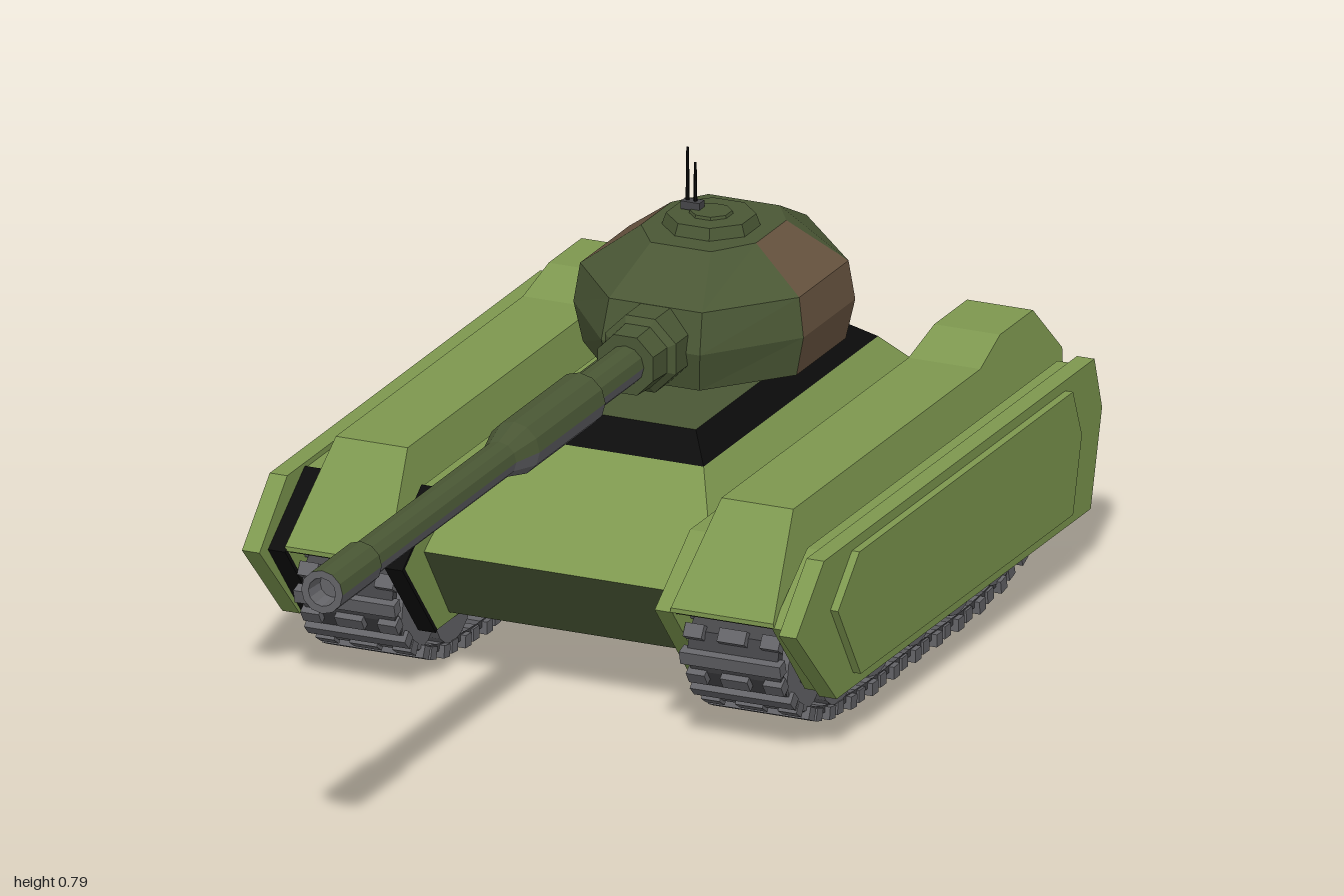
import * as THREE from 'three';
import { mergeGeometries } from 'three/addons/utils/BufferGeometryUtils.js';

const paint = (name, color) => {
  const m = new THREE.MeshStandardMaterial({ color, flatShading: true });
  m.name = name;
  return m;
};

// Skin between rings of points; 'sides' picks which strips to make
function loft(rings, { sides = null, bottom = true, top = true } = {}) {
  const pos = [], n = rings[0].length;
  const tri = (a, b, c) => pos.push(...a, ...b, ...c);
  for (let k = 0; k < rings.length - 1; k++) {
    const lo = rings[k], hi = rings[k + 1];
    for (let i = 0; i < n; i++) {
      if (sides && !sides.includes(i)) continue;
      const j = (i + 1) % n;
      tri(lo[i], lo[j], hi[j]);
      tri(lo[i], hi[j], hi[i]);
    }
  }
  const first = rings[0], last = rings[rings.length - 1];
  for (let i = 1; i < n - 1; i++) {
    if (bottom) tri(first[0], first[i + 1], first[i]);
    if (top) tri(last[0], last[i], last[i + 1]);
  }
  const g = new THREE.BufferGeometry();
  g.setAttribute('position', new THREE.Float32BufferAttribute(pos, 3));
  g.computeVertexNormals();
  return g;
}

// Slab with a (z, y) outline, centred on x = 0
function slab(outline, width, hole) {
  const shape = new THREE.Shape(outline.map(([z, y]) => new THREE.Vector2(z, y)));
  if (hole) shape.holes.push(new THREE.Path(hole.map(([z, y]) => new THREE.Vector2(z, y))));
  return new THREE.ExtrudeGeometry(shape, { depth: width, bevelEnabled: false })
    .rotateY(-Math.PI / 2).translate(width / 2, 0, 0);
}

export function createModel() {
  const lightGreen = paint('lightGreen', 0x7d974f);
  const darkGreen = paint('darkGreen', 0x4a5735);
  const brown = paint('brown', 0x67533f);
  const black = paint('black', 0x0c0c0c);
  const gray = paint('gray', 0x646468);
  const darkGray = paint('darkGray', 0x454548);

  const model = new THREE.Group();
  const add = (name, geometry, material, parent = model, x = 0, y = 0, z = 0) => {
    const m = new THREE.Mesh(geometry, material);
    m.name = name;
    m.position.set(x, y, z);
    parent.add(m);
    return m;
  };

  // Hull: stacked rectangles
  const rect = (y, w, zf, zb) => [[w, y, zf], [w, y, zb], [-w, y, zb], [-w, y, zf]];
  const belly = rect(0.115, 0.23, 0.0, -0.83), waist = rect(0.255, 0.23, 0.10, -0.91);
  const deck = rect(0.335, 0.225, -0.04, -0.87), collarLow = rect(0.395, 0.18, -0.12, -0.81);
  const collarTop = rect(0.44, 0.145, -0.165, -0.74);
  add('lowerHull', loft([belly, waist], { top: false }), darkGreen);
  add('upperHull', loft([waist, deck, collarLow], { bottom: false, top: false }), lightGreen);
  add('turretCollar', loft([collarLow, collarTop], { bottom: false, top: false }), black);
  add('hullRoof', loft([collarTop, collarTop], { sides: [], bottom: false }), darkGreen);
  add('turretRing', new THREE.CylinderGeometry(0.09, 0.09, 0.03, 16), black, model, 0, 0.443, -0.55);

  // Turret: eight-sided rings with brown patches at the sides and back
  const turret = new THREE.Group();
  turret.name = 'turret';
  model.add(turret);
  const octagon = (y, wf, zf, w, z2, z3, wb, zb) => [
    [wf, y, zf], [w, y, z2], [w, y, z3], [wb, y, zb],
    [-wb, y, zb], [-w, y, z3], [-w, y, z2], [-wf, y, zf]];
  const rings = [
    octagon(0.447, 0.08, -0.32, 0.195, -0.455, -0.65, 0.05, -0.79),
    octagon(0.517, 0.09, -0.30, 0.21, -0.45, -0.655, 0.04, -0.885),
    octagon(0.585, 0.085, -0.32, 0.2, -0.455, -0.65, 0.045, -0.82),
    octagon(0.655, 0.055, -0.42, 0.105, -0.49, -0.61, 0.065, -0.67)];
  add('turretShell', loft(rings, { sides: [0, 2, 4, 6, 7] }), darkGreen, turret);
  add('turretPatches', loft(rings, { sides: [1, 3, 5], bottom: false, top: false }), brown, turret);
  const oct = (rTop, rBottom, h) => new THREE.CylinderGeometry(rTop, rBottom, h, 8).rotateY(Math.PI / 8);
  add('hatchRim', oct(0.075, 0.082, 0.02), darkGreen, turret, 0, 0.665, -0.54);
  add('hatchLid', oct(0.035, 0.037, 0.006), darkGreen, turret, 0, 0.677, -0.54);

  // Antennas
  add('antennaBase', new THREE.BoxGeometry(0.034, 0.014, 0.02), darkGray, turret, -0.034, 0.685, -0.54);
  for (const [x, top] of [[-0.043, 0.785], [-0.029, 0.76]]) {
    const h = top - 0.685;
    add('antenna', new THREE.CylinderGeometry(0.0022, 0.0035, h, 6), black, turret, x, 0.685 + h / 2, -0.54);
  }

  // Gun: mantlet, then a barrel green above and gray below
  const lathe = (pts, segments, from = 0, length = Math.PI * 2) =>
    new THREE.LatheGeometry(pts.map(([z, r]) => new THREE.Vector2(r, z)), segments, from, length)
      .rotateX(Math.PI / 2);
  add('mantlet', lathe([[-0.36, 0.07], [-0.26, 0.07], [-0.25, 0.058], [-0.2, 0.055], [-0.2, 0]],
    8, Math.PI / 8), darkGreen, turret, 0, 0.52, 0);
  const barrel = [[-0.21, 0.034], [-0.04, 0.034], [-0.02, 0.047], [0.24, 0.047], [0.3, 0.032],
    [0.84, 0.032], [0.845, 0.038], [1, 0.038]];
  add('barrelTop', lathe(barrel, 6, Math.PI / 2, Math.PI), darkGreen, turret, 0, 0.52, 0);
  add('barrelUnderside', lathe(barrel, 6, -Math.PI / 2, Math.PI), gray, turret, 0, 0.52, 0);
  add('muzzle', lathe([[1, 0.038], [1, 0.025], [0.96, 0.022], [0.96, 0]], 12), gray, turret, 0, 0.52, 0);

  // Fender: sections along z, narrower towards the top
  const halfWidth = (y) => 0.095 - (y - 0.25) * 0.184;
  const fenderGeometry = loft([
    [-0.97, 0.25, -1.0, 0.35], [-0.92, 0.25, -0.92, 0.44], [-0.79, 0.25, -0.79, 0.44],
    [-0.70, 0.25, -0.70, 0.41], [0.04, 0.25, 0.04, 0.41], [0.18, 0.25, 0.18, 0.258],
  ].map(([zb, yb, zt, yt]) => {
    const b = halfWidth(yb), t = halfWidth(yt);
    return [[-b, yb, zb], [b, yb, zb], [t, yt, zt], [-t, yt, zt]];
  }));

  // Skirts and armour panels
  const skirtGeometry = slab([[0.04, 0.345], [0.18, 0.25], [0.05, 0.1], [-0.93, 0.1], [-0.97, 0.25], [-0.95, 0.345]], 0.032);
  const skirtNoseGeometry = slab([[0.04, 0.349], [0.186, 0.25], [0.053, 0.096], [0.047, 0.1], [0.176, 0.25], [0.036, 0.344]], 0.0325);
  const panelGeometry = slab([[0.22, 0.255], [0.11, 0.355], [-0.96, 0.355], [-0.99, 0.26], [-0.945, 0.095], [0.06, 0.095]], 0.032);
  const plateGeometry = slab([[0.085, 0.26], [0, 0.337], [-0.845, 0.337], [-0.88, 0.25], [-0.845, 0.12], [-0.005, 0.12]], 0.016);

  // Track: belt with alternating full bars and split blocks
  const path = new THREE.CatmullRomCurve3([
    [0.10, 0.23], [0.14, 0.18], [0.10, 0.10], [0, 0.037], [-0.15, 0.012], [-0.4, 0.011], [-0.65, 0.012],
    [-0.80, 0.037], [-0.90, 0.10], [-0.945, 0.18], [-0.91, 0.23], [-0.4, 0.225],
  ].map(([z, y]) => new THREE.Vector3(0, y, z)), true, 'centripetal');
  const outline = path.getSpacedPoints(60).slice(0, 60).map((p) => [p.z, p.y]);
  const inner = outline.map(([z, y]) => [-0.4 + (z + 0.4) * 0.97, 0.12 + (y - 0.12) * 0.88]);
  const beltGeometry = slab(outline, 0.165, inner);
  const shoes = [], count = 56;
  for (let i = 0; i < count; i++) {
    const p = path.getPointAt(i / count), t = path.getTangentAt(i / count);
    const blocks = i % 2 ? [[-0.07, 0.034], [0, 0.05], [0.07, 0.034]] : [[0, 0.184]];
    for (const [x, w] of blocks) {
      shoes.push(new THREE.BoxGeometry(w, 0.022, 0.024).translate(x, 0, 0)
        .rotateX(-Math.atan2(t.y, t.z)).translate(0, p.y, p.z));
    }
  }
  const shoeGeometry = mergeGeometries(shoes);
  const wheelGeometry = new THREE.CylinderGeometry(0.076, 0.076, 0.17, 16).rotateZ(Math.PI / 2);
  const hubGeometry = new THREE.CylinderGeometry(0.03, 0.03, 0.182, 10).rotateZ(Math.PI / 2);

  // One running unit on each side
  for (const s of [1, -1]) {
    const unit = new THREE.Group();
    unit.name = s > 0 ? 'leftRunningUnit' : 'rightRunningUnit';
    unit.position.x = s * 0.352;
    model.add(unit);
    add('fender', fenderGeometry, lightGreen, unit);
    add('fenderUnderside', new THREE.BoxGeometry(0.19, 0.008, 1.13), black, unit, 0, 0.247, -0.4);
    for (const x of [-0.107, 0.107]) {
      add('skirt', skirtGeometry, lightGreen, unit, x);
      if (s < 0) add('skirtNose', skirtNoseGeometry, black, unit, x);
    }
    add('armourPanel', panelGeometry, lightGreen, unit, s * 0.138);
    add('armourPlate', plateGeometry, lightGreen, unit, s * 0.16);
    add('trackBelt', beltGeometry, darkGray, unit);
    add('trackShoes', shoeGeometry, gray, unit);
    for (const z of [0.03, -0.1, -0.25, -0.41, -0.57, -0.73, -0.84]) {
      const y = z > 0 || z < -0.8 ? 0.13 : 0.1;
      add('roadWheel', wheelGeometry, gray, unit, 0, y, z);
      add('wheelHub', hubGeometry, darkGray, unit, 0, y, z);
    }
  }
  return model;
}
